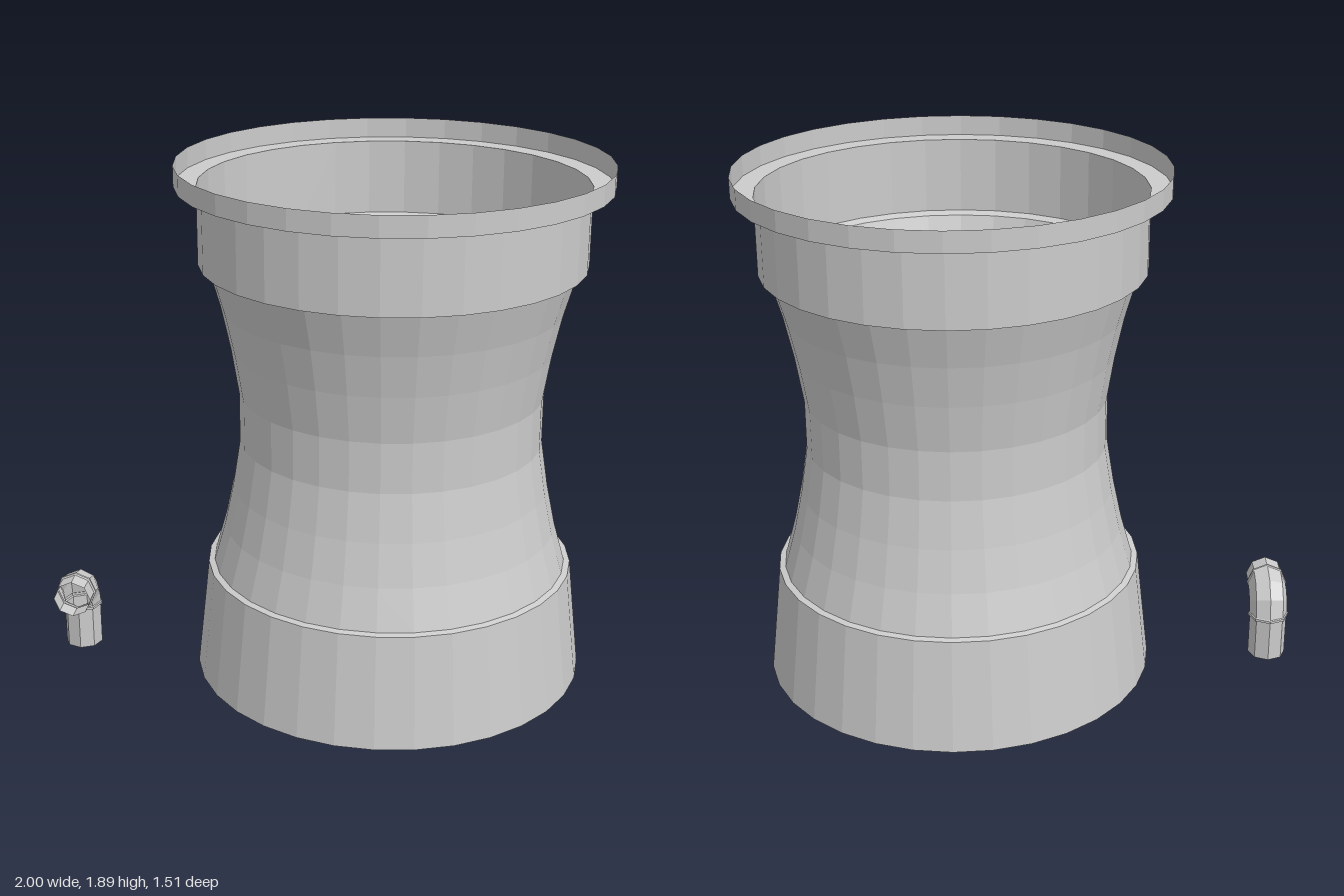
import * as THREE from 'three';

const material = new THREE.MeshStandardMaterial({
  color: 0xcccccc, flatShading: true, side: THREE.DoubleSide,
});

function part(name, geometry, parent) {
  const mesh = new THREE.Mesh(geometry, material);
  mesh.name = name;
  parent.add(mesh);
  return mesh;
}

// Turned thin shell from [radius, height] pairs
function turned(profile, sides) {
  return new THREE.LatheGeometry(profile.map(([r, y]) => new THREE.Vector2(r, y)), sides);
}

// Quarter circle from vertical (+y) to forward (+z)
class QuarterBend extends THREE.Curve {
  constructor(radius, y) {
    super();
    this.radius = radius;
    this.y = y;
  }
  getPoint(t, target = new THREE.Vector3()) {
    const a = t * Math.PI / 2;
    return target.set(0, this.y + this.radius * Math.sin(a), this.radius * (1 - Math.cos(a)));
  }
}

export function createModel() {
  const model = new THREE.Group();

  // Large waisted shell, open at both ends
  const tower = new THREE.Group();
  tower.name = 'tower';
  tower.position.x = 0.242;
  model.add(tower);
  const sides = 32;
  part('baseSkirt', turned([[0.711, 0.012], [0.665, 0.42], [0.643, 0.425]], sides), tower);
  part('waist', turned([
    [0.643, 0.425], [0.602, 0.57], [0.57, 0.72], [0.543, 0.89],
    [0.543, 1.07], [0.57, 1.24], [0.602, 1.39], [0.643, 1.535],
  ], sides), tower);
  part('collar', turned([[0.643, 1.535], [0.678, 1.545], [0.678, 1.82]], sides), tower);
  part('topLip', turned([[0.678, 1.82], [0.755, 1.82], [0.755, 1.893]], sides), tower);

  // Small elbow vent beside it
  const vent = new THREE.Group();
  vent.name = 'vent';
  vent.position.x = -0.925;
  model.add(vent);
  const bendY = 0.17, bendRadius = 0.08;
  part('bend', new THREE.TubeGeometry(new QuarterBend(bendRadius, bendY), 3, 0.071, 8), vent);

  // Straight pipe ending in a raised ring where it meets the bend
  function pipe(name, length) {
    return part(name, turned([
      [0.069, 0], [0.069, length - 0.015], [0.075, length - 0.012],
      [0.075, length - 0.003], [0.071, length],
    ], 8), vent);
  }
  pipe('uprightPipe', bendY);
  const outlet = pipe('outletPipe', 0.08);
  outlet.rotation.x = -Math.PI / 2;
  outlet.position.set(0, bendY + bendRadius, 0.16);

  return model;
}
